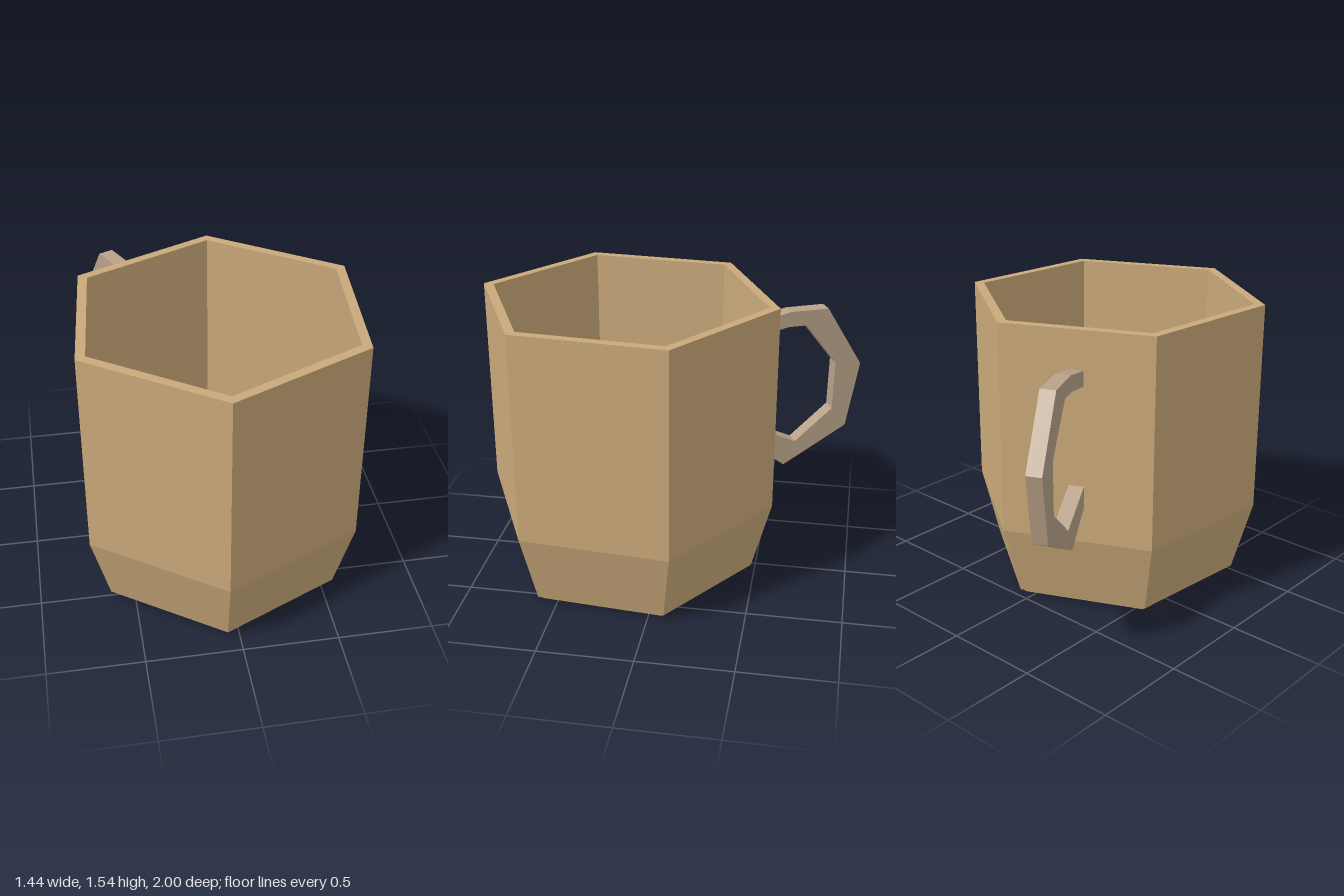
import * as THREE from 'three';

const deg = Math.PI / 180;

export function createModel() {
  const model = new THREE.Group();
  model.name = 'mug';

  const clay = new THREE.MeshStandardMaterial({ color: 0xcaa97a, flatShading: true });
  const handleClay = new THREE.MeshStandardMaterial({ color: 0xb8a188, flatShading: true });

  // Six-sided cup: foot ring, tapered base, straight wall, rim and hollow inside
  const profile = [
    [0, 0.02], [0.6, 0.02], [0.61, 0.003], [0.655, 0], [0.66, 0.025], [0.69, 0.025],
    [0.795, 0.415], [0.795, 1.54],
    [0.74, 1.54], [0.73, 0.42], [0.592, 0.09], [0, 0.09],
  ].map(([r, y]) => new THREE.Vector2(r, y));
  const cup = new THREE.Mesh(new THREE.LatheGeometry(profile, 6, -5.06 * deg), clay);
  cup.name = 'cup';

  // Angular handle: outline in (distance from the cup axis, height), lower end reaches through the wall
  const outline = [
    [0.66, 1.33], [0.89, 1.38], [1.104, 1.38], [1.314, 1.04], [1.247, 0.67], [0.885, 0.465], [0.59, 0.68],
    [0.59, 0.77], [0.947, 0.603], [1.16, 0.783], [1.165, 1.06], [0.98, 1.295], [0.88, 1.295], [0.66, 1.25],
  ].map(([r, y]) => new THREE.Vector2(r, y));
  const width = 0.08;
  const bar = new THREE.ExtrudeGeometry(new THREE.Shape(outline), { depth: width, bevelEnabled: false });
  bar.translate(0, 0, -width / 2);
  const handle = new THREE.Mesh(bar, handleClay);
  handle.name = 'handle';
  handle.rotation.y = 115 * deg;

  // The cup axis sits forward of the origin to balance the handle
  for (const part of [cup, handle]) {
    part.position.z = 0.2075;
    model.add(part);
  }
  return model;
}
